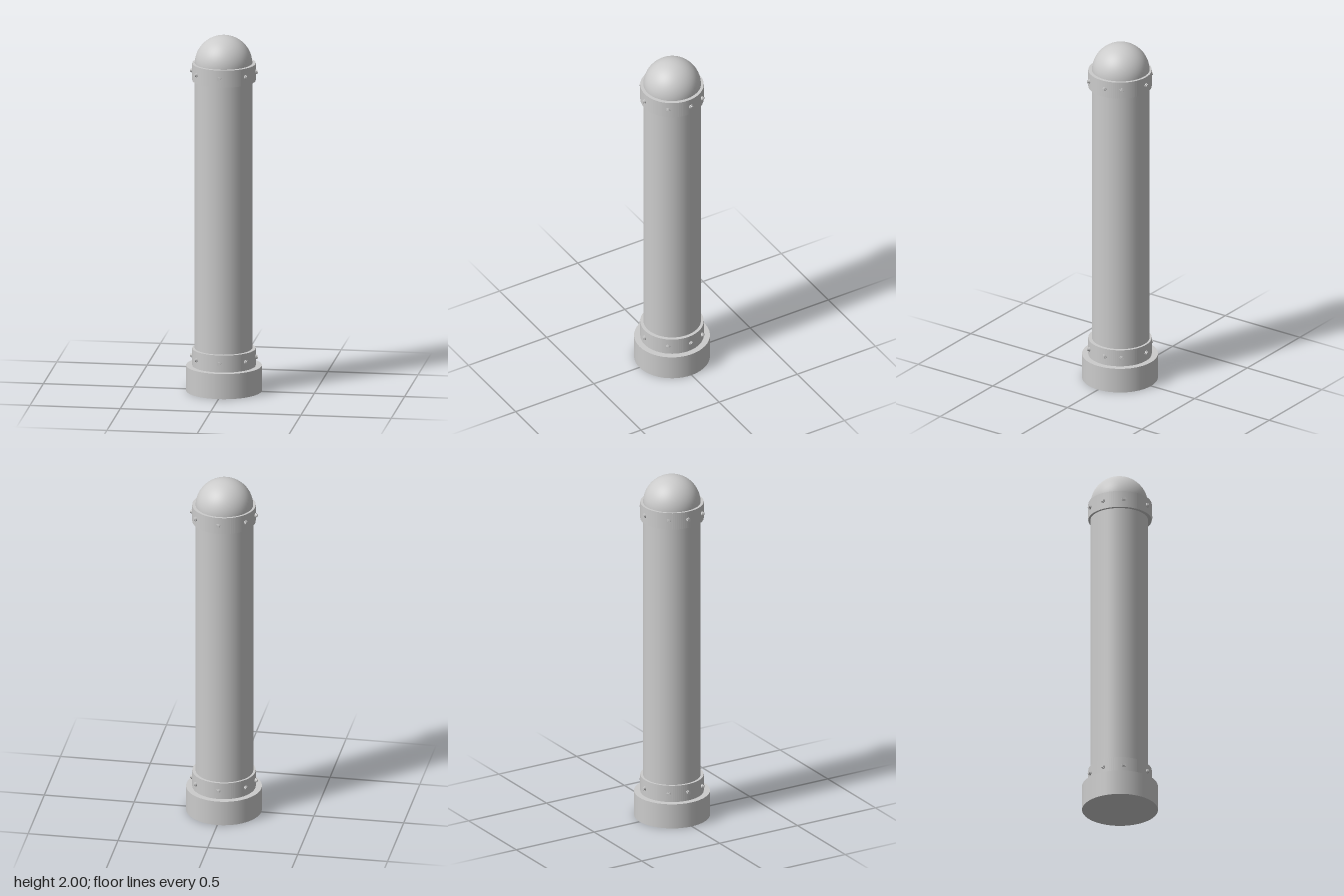
import * as THREE from 'three';

const material = new THREE.MeshStandardMaterial({ color: 0xcccccc });

function add(parent, name, geometry, x = 0, y = 0, z = 0) {
  const mesh = new THREE.Mesh(geometry, material);
  mesh.name = name;
  mesh.position.set(x, y, z);
  parent.add(mesh);
  return mesh;
}

// Flat-edged collar with an open centre
function collarGeometry(outer, inner, height) {
  const shape = new THREE.Shape().absarc(0, 0, outer, 0, Math.PI * 2);
  shape.holes.push(new THREE.Path().absarc(0, 0, inner, 0, Math.PI * 2, true));
  const geometry = new THREE.ExtrudeGeometry(shape, { depth: height, bevelEnabled: false, curveSegments: 48 });
  return geometry.rotateX(-Math.PI / 2);
}

// Bolt pointing along +z: wide washer and narrower head
function createBolt() {
  const bolt = new THREE.Group();
  bolt.name = 'bolt';
  const washer = new THREE.CylinderGeometry(0.0125, 0.0125, 0.012, 16).rotateX(Math.PI / 2);
  const head = new THREE.CylinderGeometry(0.009, 0.009, 0.012, 16).rotateX(Math.PI / 2);
  add(bolt, 'boltWasher', washer, 0, 0, -0.006);
  add(bolt, 'boltHead', head, 0, 0, 0.001);
  return bolt;
}

// Collar with eight bolts around it
function createCollar(name, y) {
  const collar = new THREE.Group();
  collar.name = name;
  collar.position.y = y;
  const height = 0.096;
  add(collar, 'collarBand', collarGeometry(0.174, 0.154, height));
  const spots = [[0, 1], [0.141, 0.111], [0.18, -0.018], [0.142, -0.111],
    [-0.004, -1], [-0.144, -0.109], [-0.18, -0.004], [-0.141, 0.111]];
  for (const [x, z] of spots) {
    const angle = Math.atan2(x, z);
    const bolt = createBolt();
    bolt.position.set(Math.sin(angle) * 0.18, height / 2, Math.cos(angle) * 0.18);
    bolt.rotation.y = angle;
    collar.add(bolt);
  }
  return collar;
}

export function createModel() {
  const model = new THREE.Group();
  model.name = 'bollard';
  const offset = -0.003;

  // Foot and post
  add(model, 'base', new THREE.CylinderGeometry(0.208, 0.208, 0.142, 48), 0, 0.071, 0);
  add(model, 'post', new THREE.CylinderGeometry(0.158, 0.158, 1.702, 48), offset, 0.991, offset);

  // Rounded cap
  const dome = new THREE.SphereGeometry(0.158, 48, 24, 0, Math.PI * 2, 0, Math.PI / 2);
  add(model, 'domeCap', dome, offset, 1.842, offset);

  // Bolted collars
  model.add(createCollar('lowerCollar', 0.142), createCollar('upperCollar', 1.75));
  return model;
}
